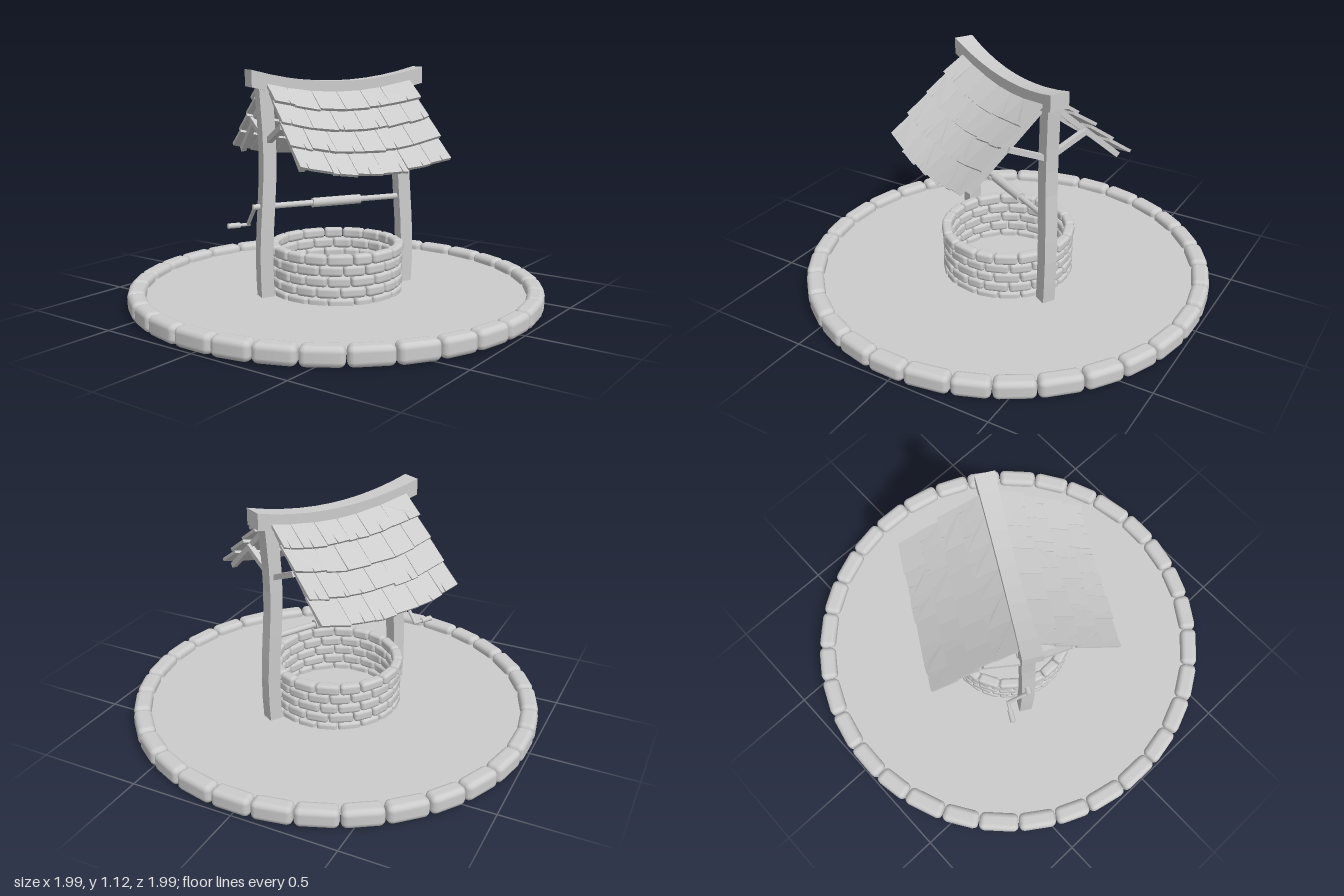
import * as THREE from 'three';
import { RoundedBoxGeometry } from 'three/addons/geometries/RoundedBoxGeometry.js';

const mat = new THREE.MeshStandardMaterial({ color: 0xcccccc });
const thinMat = new THREE.MeshStandardMaterial({ color: 0xcccccc, side: THREE.DoubleSide });

// Small seeded generator: rnd(a) gives a value in -a..a
let seed = 7;
function rnd(a) {
  seed = (seed * 16807) % 2147483647;
  return (seed / 2147483647 * 2 - 1) * a;
}

function add(parent, name, geometry, material = mat) {
  const mesh = new THREE.Mesh(geometry, material);
  mesh.name = name;
  parent.add(mesh);
  return mesh;
}

// Move every vertex by a rule, then give flat faces
function warp(geometry, rule) {
  const g = geometry.index ? geometry.toNonIndexed() : geometry;
  const p = g.attributes.position, v = new THREE.Vector3();
  for (let i = 0; i < p.count; i++) {
    rule(v.fromBufferAttribute(p, i));
    p.setXYZ(i, v.x, v.y, v.z);
  }
  g.computeVertexNormals();
  return g;
}

// Rounded stone bent around a circle of radius R
function curvedStone(w, h, d, R, angle) {
  const g = new RoundedBoxGeometry(w, h, d, 2, Math.min(w, h, d) * 0.32);
  const p = g.attributes.position, n = g.attributes.normal;
  const v = new THREE.Vector3(), up = new THREE.Vector3(0, 1, 0);
  for (let i = 0; i < p.count; i++) {
    const a = angle + p.getX(i) / R, r = R + p.getZ(i);
    p.setXYZ(i, r * Math.sin(a), p.getY(i), r * Math.cos(a));
    v.fromBufferAttribute(n, i).applyAxisAngle(up, a);
    n.setXYZ(i, v.x, v.y, v.z);
  }
  return g;
}

function stoneRing(parent, name, { count, outer, depth, y, height, offset, jitter }) {
  const R = outer - depth / 2, step = Math.PI * 2 / count;
  const cuts = Array.from({ length: count }, (_, i) => (i + offset) * step + rnd(jitter) * step);
  for (let i = 0; i < count; i++) {
    const a = cuts[i], b = i + 1 < count ? cuts[i + 1] : cuts[0] + Math.PI * 2;
    const stone = add(parent, name,
      curvedStone((b - a) * R - 0.003, height + rnd(0.002), depth + rnd(0.003), R, (a + b) / 2));
    stone.position.y = y + height / 2;
  }
}

// Round bar between two points
function bar(parent, name, a, b, r, sides = 12) {
  const A = new THREE.Vector3(...a), B = new THREE.Vector3(...b), d = B.clone().sub(A);
  const m = add(parent, name, new THREE.CylinderGeometry(r, r, d.length(), sides));
  m.position.copy(A).add(B).multiplyScalar(0.5);
  m.quaternion.setFromUnitVectors(new THREE.Vector3(0, 1, 0), d.normalize());
}

// Square timber between two points in a plane of constant x
function timber(parent, name, x, [y0, z0], [y1, z1], size) {
  const m = add(parent, name, new THREE.BoxGeometry(size, size, Math.hypot(y1 - y0, z1 - z0)));
  m.position.set(x, (y0 + y1) / 2, (z0 + z1) / 2);
  m.rotation.x = -Math.atan2(y1 - y0, z1 - z0);
}

// Roof surface: u along ridge, s down the slope, h above the surface
const SLOPE = Math.hypot(0.395, 0.345), DY = 0.345 / SLOPE, DZ = 0.395 / SLOPE;
const sag = u => 0.05 * ((u / 0.37) ** 2 - 1);
const roofY = (u, s, h) => 1.05 - s * DY + h * DZ + sag(u);
const roofZ = (s, h) => 0.03 + s * DZ + h * DY;

// Plank shingle with an optional split in its lower edge
function shingle(u0, u1, s0, s1) {
  const shape = new THREE.Shape();
  shape.moveTo(u0, -s0);
  shape.lineTo(u0, -s1 + rnd(0.006));
  if (rnd(1) > -0.4) {
    const c = u0 + (u1 - u0) * (0.5 + rnd(0.3));
    shape.lineTo(c - 0.003, -s1);
    shape.lineTo(c + rnd(0.004), -s1 + 0.045 + rnd(0.02));
    shape.lineTo(c + 0.003, -s1);
  }
  shape.lineTo(u1, -s1 + rnd(0.006));
  shape.lineTo(u1, -s0);
  const lift = 0.018 + rnd(0.003);
  const g = new THREE.ExtrudeGeometry(shape, { depth: 0.015, bevelEnabled: false });
  return warp(g, v => {
    const u = v.x, s = -v.y, h = v.z + lift * (s - s0) / (s1 - s0);
    v.set(u, roofY(u, s, h), roofZ(s, h));
  });
}

function roofSide() {
  const side = new THREE.Group();
  side.name = 'roofSide';
  const rows = 4, cols = 6, step = SLOPE / rows;
  for (let r = 0; r < rows; r++) {
    const cuts = [-0.37 + rnd(0.006)];
    for (let c = 1; c < cols; c++) {
      cuts.push(-0.37 + 0.74 * (c + (r % 2 ? 0.22 : -0.22)) / cols + rnd(0.012));
    }
    cuts.push(0.37 + rnd(0.006));
    for (let c = 0; c < cols; c++) {
      add(side, 'shingle', shingle(cuts[c] + 0.001, cuts[c + 1] - 0.001,
        Math.max(0, r * step - 0.02), (r + 1) * step + rnd(0.006)));
    }
  }
  // Rafters and braces under each end
  for (const x of [-0.335, 0.335]) {
    timber(side, 'rafter', x, [roofY(x, 0, -0.014), roofZ(0, -0.014)],
      [roofY(x, 0.49, -0.014), roofZ(0.49, -0.014)], 0.026);
    timber(side, 'brace', Math.sign(x) * 0.35, [0.79, 0.01], [0.875, 0.2], 0.026);
  }
  return side;
}

export function createModel() {
  const model = new THREE.Group();
  model.name = 'well';

  // Paved ground with its stone kerb
  const ground = add(model, 'ground', new THREE.CircleGeometry(0.96, 64), thinMat);
  ground.rotation.x = -Math.PI / 2;
  ground.position.y = 0.055;
  const kerb = new THREE.Group();
  kerb.name = 'kerb';
  stoneRing(kerb, 'kerbStone',
    { count: 32, outer: 0.998, depth: 0.085, y: 0.005, height: 0.09, offset: 0.4, jitter: 0.06 });
  model.add(kerb);

  // Well wall in staggered courses
  const wall = new THREE.Group();
  wall.name = 'wellWall';
  for (let i = 0; i < 5; i++) {
    stoneRing(wall, 'wallStone', { count: 18, outer: i === 4 ? 0.328 : 0.322, depth: 0.05,
      y: 0.035 + i * 0.051, height: 0.051, offset: i % 2 * 0.5, jitter: 0.12 });
  }
  model.add(wall);

  // Shelter turned on the ground
  const shelter = new THREE.Group();
  shelter.name = 'shelter';
  shelter.rotation.y = -0.515;
  model.add(shelter);

  // Crooked posts
  for (const side of [-1, 1]) {
    const post = new THREE.BoxGeometry(0.064, 1.03, 0.064, 1, 9, 1).translate(0, 0.555, 0);
    add(shelter, 'post', warp(post, v => {
      v.x += side * (0.36 + 0.01 * Math.sin(v.y * 6.5));
      v.z += 0.005 * Math.sin(v.y * 5 + side);
    }));
  }

  // Sagging ridge beam
  const beam = new THREE.BoxGeometry(0.875, 0.078, 0.09, 10, 1, 1);
  add(shelter, 'ridgeBeam', warp(beam, v => {
    v.y += 1.022 + 0.06 * (v.x / 0.4375) ** 2;
    v.z *= 0.85 + 0.2 * (v.x / 0.4375) ** 2;
  }));

  // Two roof slopes
  const front = roofSide(), back = roofSide();
  back.rotation.y = Math.PI;
  shelter.add(front, back);

  // Winch: axle, drum and crank
  const winch = new THREE.Group();
  winch.name = 'winch';
  bar(winch, 'axle', [-0.425, 0.485, 0], [0.37, 0.485, 0], 0.014);
  bar(winch, 'drum', [-0.125, 0.485, 0], [0.125, 0.485, 0], 0.023, 16);
  bar(winch, 'crankArm', [-0.415, 0.49, 0.008], [-0.415, 0.383, -0.102], 0.009);
  bar(winch, 'crankHandle', [-0.405, 0.385, -0.1], [-0.46, 0.385, -0.1], 0.008);
  bar(winch, 'crankGrip', [-0.455, 0.385, -0.1], [-0.515, 0.385, -0.1], 0.013);
  shelter.add(winch);

  return model;
}
